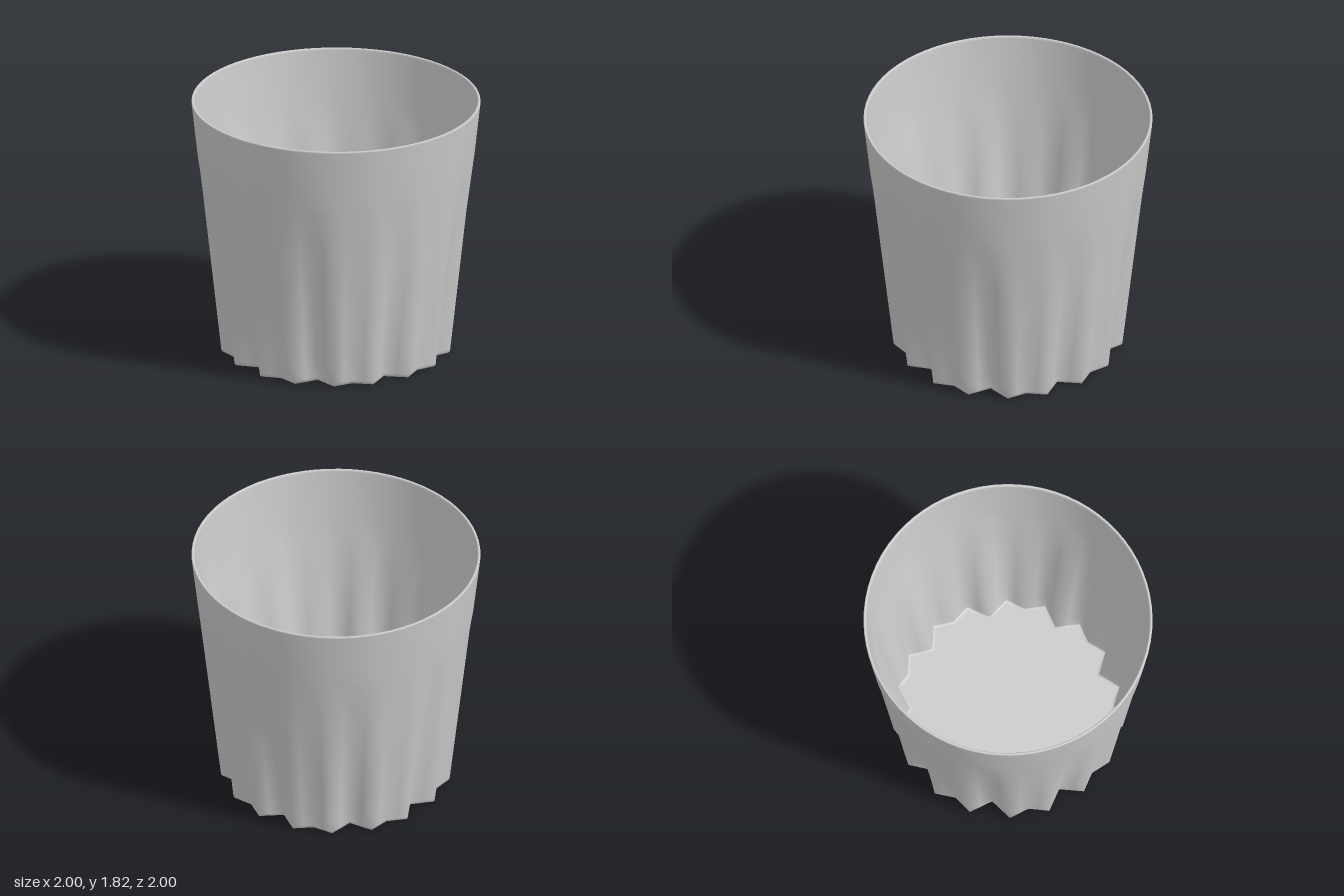
import * as THREE from 'three';

const HEIGHT = 1.82, FLUTE_TOP = 1.42, COLS = 72, WALL = 0.02;

// Radius of the fluted wall at one of 36 directions (index from the back):
// ridges on odd directions, deep and shallow grooves alternating on even ones.
function wallRadius(k, y, inset) {
  const depth = k % 2 ? 0 : k % 4 ? 0.055 : 0.115;
  const fade = Math.max(0, 1 - y / FLUTE_TOP);
  return 0.8 + 0.2 * y / HEIGHT - depth * fade - inset;
}

function controlPoint(k, y, inset) {
  const a = k * Math.PI / 18;
  const r = wallRadius(((k % 36) + 36) % 36, y, inset);
  return [Math.sin(a) * r, -Math.cos(a) * r];
}

// Column i lies on a ridge or groove line, or half way along the facet between them.
function wallPoint(i, y, inset) {
  if (i % 2 === 0) return controlPoint(i / 2, y, inset);
  const p = controlPoint((i - 1) / 2, y, inset);
  const q = controlPoint((i + 1) / 2, y, inset);
  const x = (p[0] + q[0]) / 2, z = (p[1] + q[1]) / 2;
  // facets bulge out to a round ring as the flutes fade
  const t = Math.min(1, y / FLUTE_TOP);
  const s = 1 + t * (1 / Math.cos(Math.PI / 36) - 1);
  return [x * s, z * s];
}

function createPotGeometry() {
  // Rows of [height, inset from the outer wall, scale towards the axis]
  const rows = [[0, 0, 0], [0, 0.03, 0.97], [0, 0.018, 1], [0.006, 0.006, 1], [0.018, 0, 1], [0.03, 0, 1]];
  for (let j = 1; j <= 14; j++) rows.push([0.03 + (FLUTE_TOP - 0.03) * j / 14, 0, 1]);
  rows.push([1.6, 0, 1], [HEIGHT - 0.012, 0, 1], [HEIGHT - 0.003, 0.002, 1], [HEIGHT, 0.006, 1],
    [HEIGHT, WALL - 0.005, 1], [HEIGHT - 0.004, WALL, 1], [HEIGHT - 0.015, WALL, 1], [1.6, WALL, 1]);
  for (let j = 14; j >= 0; j--) rows.push([0.06 + (FLUTE_TOP - 0.06) * j / 14, WALL, 1]);
  rows.push([0.05, WALL + 0.004, 1], [0.05, WALL + 0.01, 0.98], [0.05, WALL, 0]);

  const positions = [], indices = [];
  for (const [y, inset, scale] of rows) {
    for (let i = 0; i < COLS; i++) {
      const [x, z] = wallPoint(i, y, inset);
      positions.push(x * scale, y, z * scale);
    }
  }
  for (let r = 0; r < rows.length - 1; r++) {
    for (let i = 0; i < COLS; i++) {
      const n = (i + 1) % COLS;
      const a = r * COLS + i, b = r * COLS + n, c = a + COLS, d = b + COLS;
      if (rows[r + 1][2] > 0) indices.push(a, c, d);
      else indices.push(a, c, b);
      if (rows[r][2] > 0 && rows[r + 1][2] > 0) indices.push(a, d, b);
    }
  }
  const geometry = new THREE.BufferGeometry();
  geometry.setAttribute('position', new THREE.Float32BufferAttribute(positions, 3));
  geometry.setIndex(indices);
  geometry.computeVertexNormals();
  return geometry;
}

export function createModel() {
  const group = new THREE.Group();
  group.name = 'flutedPot';
  // One closed shell: underside, fluted outer wall, rim, inner wall and floor
  const pot = new THREE.Mesh(createPotGeometry(), new THREE.MeshStandardMaterial({ color: 0xcccccc }));
  pot.name = 'potShell';
  group.add(pot);
  return group;
}
